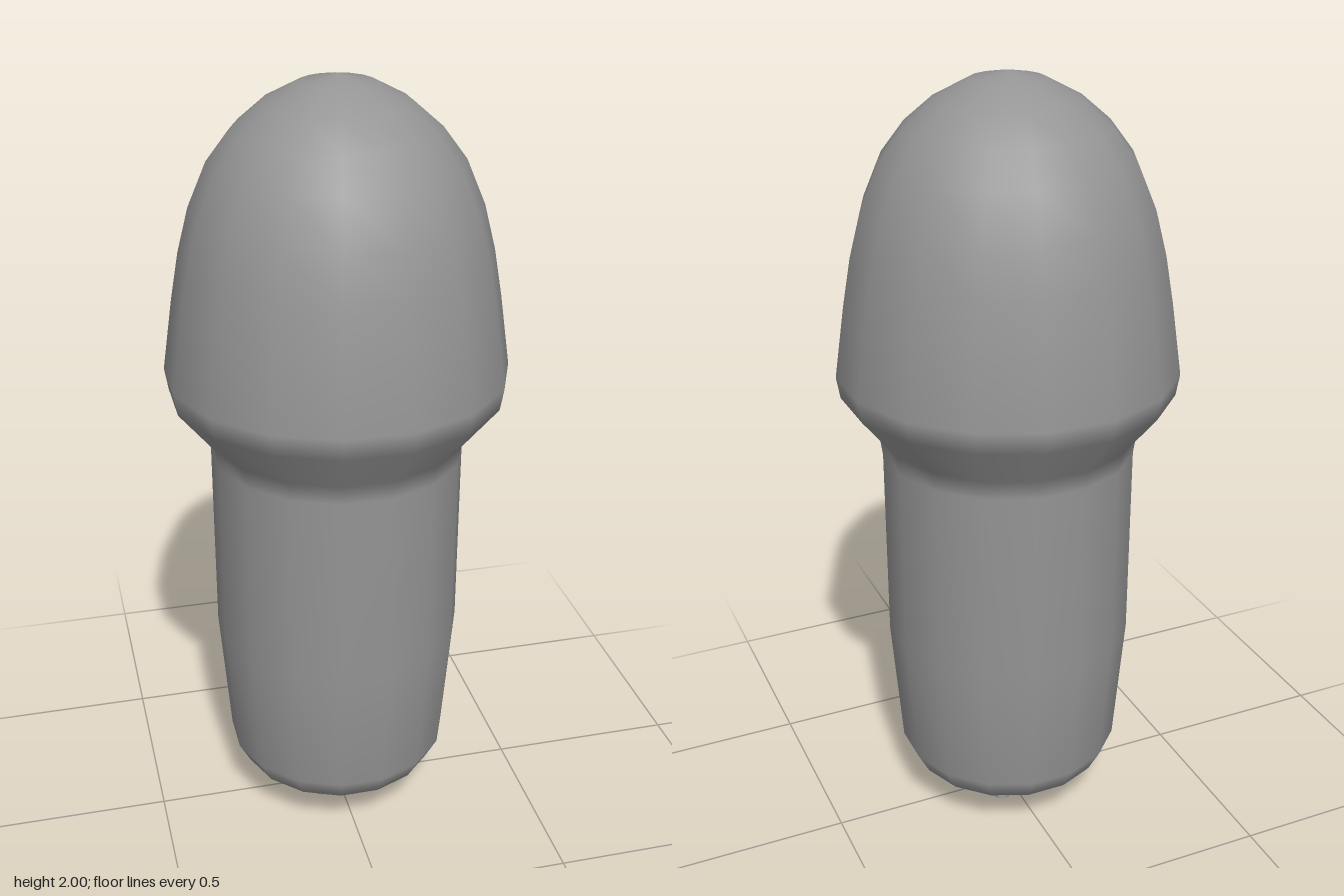
import * as THREE from 'three';

const SIDES = 16;
const material = new THREE.MeshStandardMaterial({ color: 0x959595 });

// Smooth 16-sided turned shape with flats facing the axes; radii measured to the flats
function turned(name, profile) {
  const k = 1 / Math.cos(Math.PI / SIDES);
  const points = profile.map(([r, y]) => new THREE.Vector2(r * k, y));
  const mesh = new THREE.Mesh(new THREE.LatheGeometry(points, SIDES, Math.PI / SIDES), material);
  mesh.name = name;
  return mesh;
}

export function createModel() {
  const model = new THREE.Group();
  model.name = 'model';

  // Stem, flared collar and domed cap in one continuous skin, with tiny flat poles
  model.add(turned('body', [
    [0, 0.04], [0.004, 0.04], [0.1, 0.052], [0.185, 0.088], [0.257, 0.14], [0.288, 0.2],
    [0.315, 0.55], [0.315, 1.06], [0.322, 1.11],
    [0.412, 1.225], [0.421, 1.28],
    [0.395, 1.46], [0.374, 1.58], [0.346, 1.69], [0.3, 1.8], [0.243, 1.877],
    [0.173, 1.938], [0.088, 1.983], [0.004, 2], [0, 2],
  ]));

  // Cluster of short, splayed pegs under the base
  const pegs = new THREE.Group();
  pegs.name = 'basePegs';
  const pegGeometry = new THREE.CylinderGeometry(0.021, 0.021, 0.05, 8);
  const rings = [
    { count: 8, radius: 0.094, y: 0.037, tilt: 0.2, start: 0.2 },
    { count: 3, radius: 0.038, y: 0.027, tilt: 0.08, start: 0.6 },
  ];
  for (const { count, radius, y, tilt, start } of rings) {
    for (let i = 0; i < count; i++) {
      const pivot = new THREE.Group();
      pivot.rotation.y = start + (i / count) * Math.PI * 2;
      const peg = new THREE.Mesh(pegGeometry, material);
      peg.name = 'peg';
      peg.position.set(radius, y, 0);
      peg.rotation.z = tilt;
      pivot.add(peg);
      pegs.add(pivot);
    }
  }
  model.add(pegs);

  return model;
}
